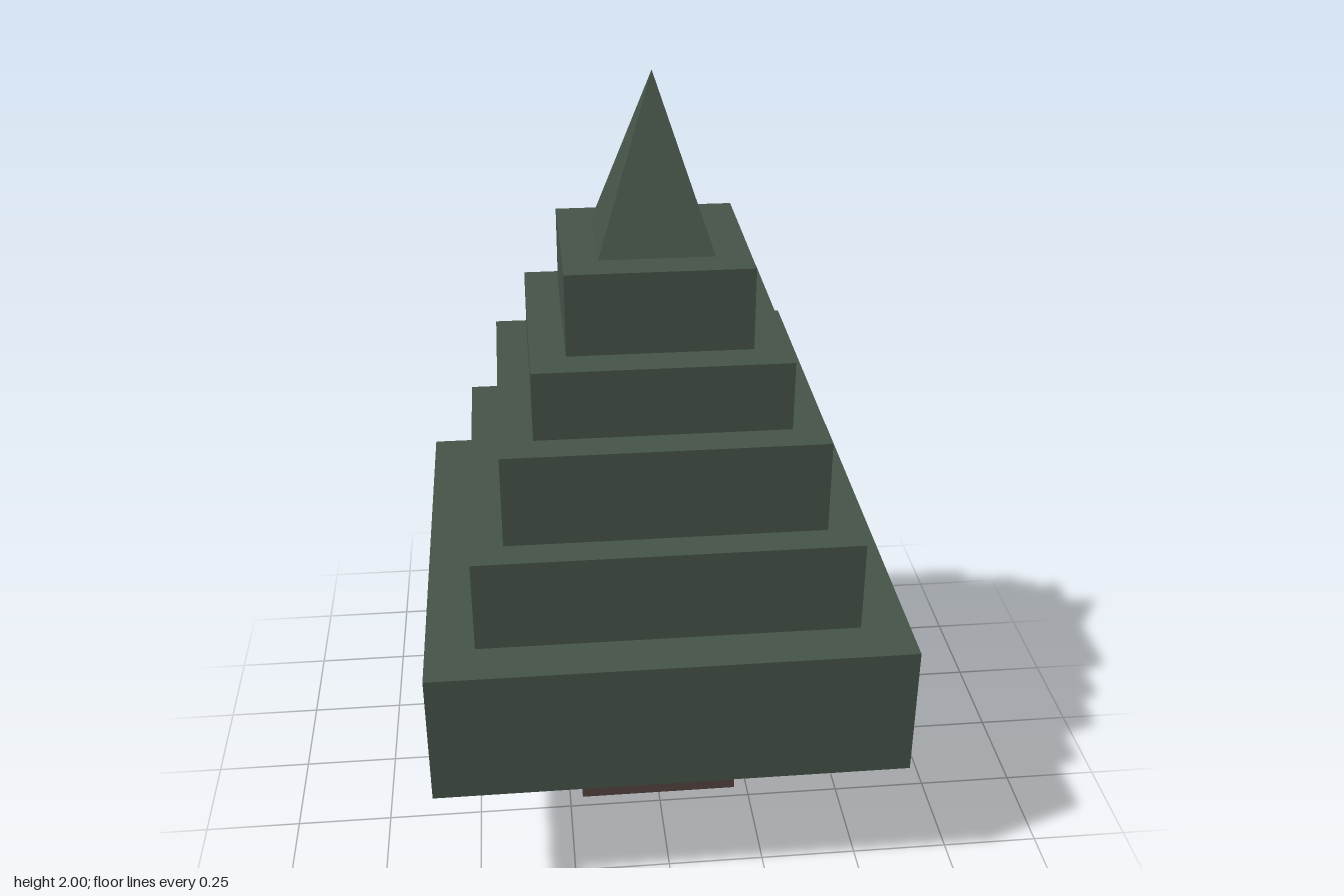
import * as THREE from 'three';

export function createModel() {
  const tree = new THREE.Group();
  tree.name = 'tree';
  const bark = new THREE.MeshStandardMaterial({ color: 0x54443f, flatShading: true });
  const foliage = new THREE.MeshStandardMaterial({ color: 0x455348, flatShading: true });

  // Square block, centred on the trunk axis, between two heights
  function block(name, width, bottom, top, material) {
    const mesh = new THREE.Mesh(new THREE.BoxGeometry(width, top - bottom, width), material);
    mesh.name = name;
    mesh.position.y = (bottom + top) / 2;
    tree.add(mesh);
  }

  block('trunk', 0.43, 0, 0.365, bark);

  // Stepped foliage: width and top height of each tier, from the bottom up
  let bottom = 0.365;
  [[1.2, 0.72], [0.955, 0.96], [0.794, 1.2], [0.628, 1.377], [0.454, 1.585]].forEach(([width, top], i) => {
    block(`foliageTier${i + 1}`, width, bottom, top, foliage);
    bottom = top;
  });

  // Four-sided pointed top, turned so its sides line up with the tiers
  const height = 2 - bottom;
  const tip = new THREE.Mesh(new THREE.ConeGeometry(0.141 * Math.SQRT2, height, 4), foliage);
  tip.name = 'treeTip';
  tip.rotation.y = Math.PI / 4;
  tip.position.y = bottom + height / 2;
  tree.add(tip);

  return tree;
}
